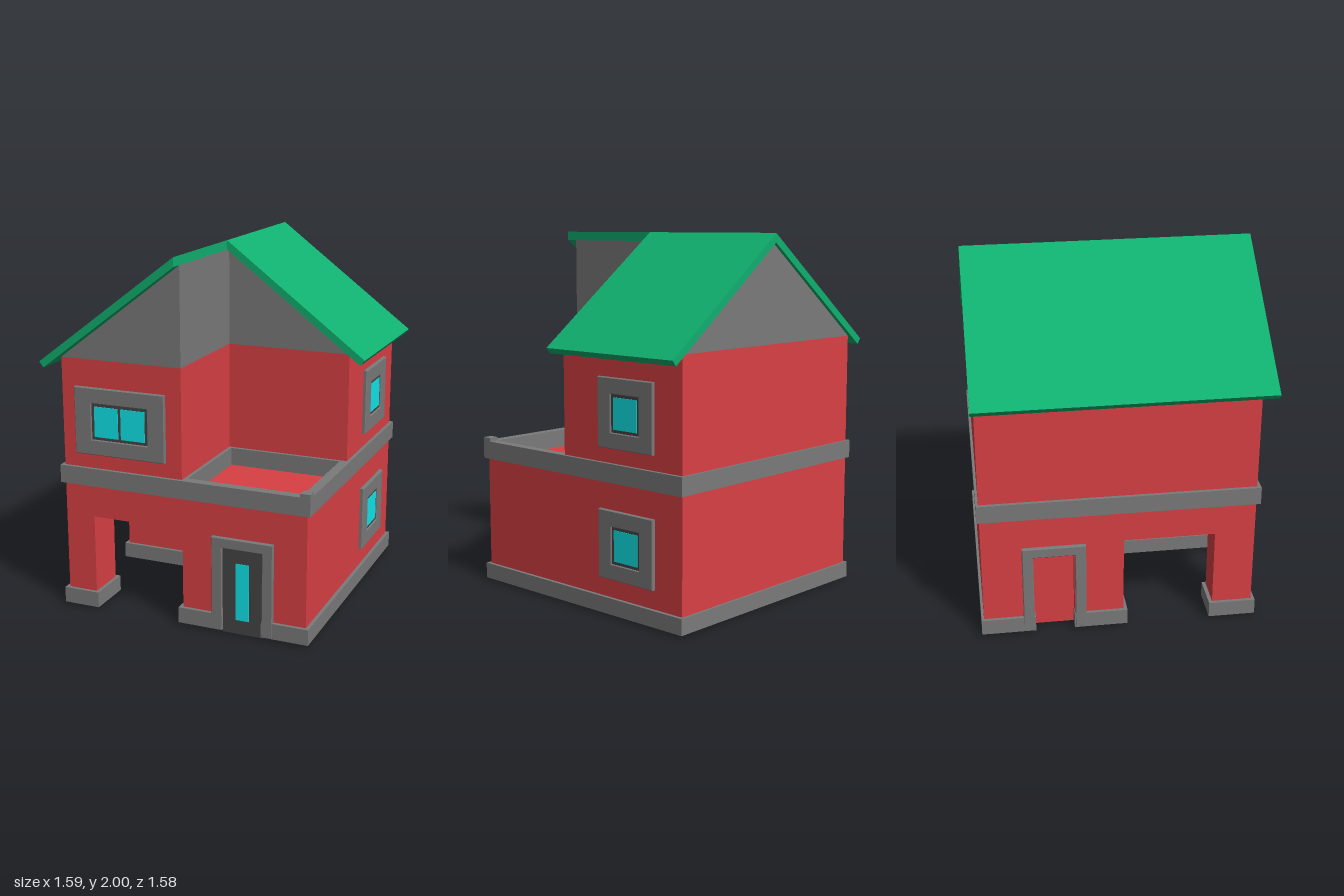
import * as THREE from 'three';

const mat = (color) => new THREE.MeshStandardMaterial({ color, roughness: 0.9 });
const RED = mat(0xd84044), GREY = mat(0x7a7a7a), DARK = mat(0x454545);
const GREEN = mat(0x10b070), GLASS = mat(0x10e6ea);

const toShape = (pts) => new THREE.Shape(pts.map(([x, y]) => new THREE.Vector2(x, y)));
const rect = (x0, y0, x1, y1) => [[x0, y0], [x1, y0], [x1, y1], [x0, y1]];

export function createModel() {
  const house = new THREE.Group();
  house.name = 'house';

  const add = (parent, name, geometry, material) => {
    const mesh = new THREE.Mesh(geometry, material);
    mesh.name = name;
    parent.add(mesh);
    return mesh;
  };

  // Floor plan in x and z, raised from y0 to y1
  const plan = (name, pts, y0, y1, material, hole) => {
    const shape = toShape(pts);
    if (hole) shape.holes.push(toShape(hole));
    const g = new THREE.ExtrudeGeometry(shape, { depth: y1 - y0, bevelEnabled: false });
    g.rotateX(Math.PI / 2).translate(0, y1, 0);
    return add(house, name, g, material);
  };

  // Outline in x and y, running from z0 to z1
  const along = (name, pts, z0, z1, material) => {
    const g = new THREE.ExtrudeGeometry(toShape(pts), { depth: z1 - z0, bevelEnabled: false });
    return add(house, name, g.translate(0, 0, z0), material);
  };

  const box = (parent, name, x0, y0, x1, y1, z0, z1, material) => {
    const g = new THREE.BoxGeometry(x1 - x0, y1 - y0, z1 - z0);
    return add(parent, name, g.translate((x0 + x1) / 2, (y0 + y1) / 2, (z0 + z1) / 2), material);
  };

  // Flat trim lying on a wall, with softened outer edges
  const trim = (parent, name, pts, hole, depth, material) => {
    const b = 0.004, shape = toShape(pts);
    if (hole) shape.holes.push(toShape(hole));
    const g = new THREE.ExtrudeGeometry(shape, {
      depth: depth - b, bevelThickness: b, bevelSize: b, bevelOffset: -b, bevelSegments: 1,
    });
    return add(parent, name, g, material);
  };

  // L-shaped ground floor with a door recess on the front and on the right side;
  // o is the outset, d the recess depth and s narrows the recess
  const ground = (o, d, s) => [
    [-0.7 - o, -0.77 - o * 0.7], [0.7 + o, -0.77 - o * 0.7], [0.7 + o, 0.72 + o],
    [0.46 - s, 0.72 + o], [0.46 - s, 0.72 - d], [0.23 + s, 0.72 - d], [0.23 + s, 0.72 + o],
    [-o, 0.72 + o], [-o, o], [-0.7 - o, o],
    [-0.7 - o, -0.27 - s], [-0.7 + d, -0.27 - s], [-0.7 + d, -0.49 + s], [-0.7 - o, -0.49 + s],
  ];
  const lShape = [[-0.7, -0.77], [0.7, -0.77], [0.7, 0.72], [0, 0.72], [0, 0], [-0.7, 0]];
  plan('groundFloorWalls', ground(0, 0.05, 0), 0.01, 0.48, RED);
  plan('doorLintels', lShape, 0.48, 0.54, RED);
  plan('terraceFloor', rect(-0.7, -0.77, 0.7, 0.72), 0.54, 0.72, RED);
  plan('porchPillar', rect(-0.7, 0.5, -0.53, 0.72), 0.01, 0.54, RED);

  // Plinths
  plan('plinth', ground(0.02, 0.09, 0.003), 0.012, 0.1, GREY);
  plan('pillarPlinth', rect(-0.72, 0.48, -0.51, 0.74), 0.012, 0.1, GREY);

  // Band between the floors, doubling as the terrace parapet
  plan('floorBand', rect(-0.72, -0.784, 0.72, 0.74), 0.72, 0.82, GREY, rect(0.02, 0.1, 0.665, 0.685));
  plan('parapetCorner', rect(0.665, 0.685, 0.72, 0.74), 0.82, 0.84, GREY);

  // Upper floor
  plan('upperWalls', [[-0.7, -0.77], [0.7, -0.77], [0.7, 0.08], [0, 0.08], [0, 0.72], [-0.7, 0.72]],
    0.72, 1.42, RED);

  // Attic and roof halves: the left one is shorter, above the terrace
  for (const [side, s, wallEnd, roofEnd] of [['right', -1, 0.72, 0.79], ['left', 1, 0.08, 0.11]]) {
    along(side + 'Attic', [[0, 1.42], [s * 0.7, 1.42], [0, 1.95]], -0.77, wallEnd, GREY);
    along(side + 'Roof', [[0, 1.95], [s * 0.77, 1.37], [s * 0.795, 1.4], [0, 2]], -0.79, roofEnd, GREEN);
  }

  // Window: wide grey surround, dark frame and glass panes
  const windowUnit = (name, w, h, fw, fh, panes) => {
    const g = new THREE.Group();
    g.name = name;
    const [a, b, c, d] = [w / 2, h / 2, fw / 2, fh / 2];
    trim(g, 'surround', rect(-a, -b, a, b), rect(-c, -d, c, d), 0.02, GREY);
    box(g, 'frame', -c, -d, c, d, 0, 0.012, DARK);
    const gap = 0.016, pw = (fw - gap * (panes + 1)) / panes;
    for (let i = 0; i < panes; i++) {
      const x = -c + gap + i * (pw + gap);
      box(g, 'glass', x, -d + gap, x + pw, d - gap, 0, 0.015, GLASS);
    }
    house.add(g);
    return g;
  };
  windowUnit('frontWindow', 0.53, 0.37, 0.33, 0.2, 2).position.set(-0.355, 1.085, 0.72);
  for (const [name, y] of [['lowerSideWindow', 0.387], ['upperSideWindow', 1.085]]) {
    const w = windowUnit(name, 0.39, 0.37, 0.2, 0.2, 1);
    w.position.set(0.7, y, -0.388);
    w.rotation.y = Math.PI / 2;
  }

  // Door surrounds
  const doorway = (name) => {
    const g = new THREE.Group();
    g.name = name;
    trim(g, 'surround', [[-0.173, 0.014], [-0.113, 0.014], [-0.113, 0.48], [0.113, 0.48],
      [0.113, 0.014], [0.173, 0.014], [0.173, 0.537], [-0.173, 0.537]], null, 0.021, GREY);
    house.add(g);
    return g;
  };
  const front = doorway('frontDoor');
  front.position.set(0.347, 0, 0.72);
  box(front, 'doorPanel', -0.116, 0, 0.116, 0.482, -0.05, 0.006, DARK);
  box(front, 'doorGlass', -0.037, 0.08, 0.037, 0.4, -0.04, 0.009, GLASS);

  const sideDoor = doorway('sideDoorway');
  sideDoor.position.set(-0.7, 0, -0.38);
  sideDoor.rotation.y = -Math.PI / 2;

  return house;
}
